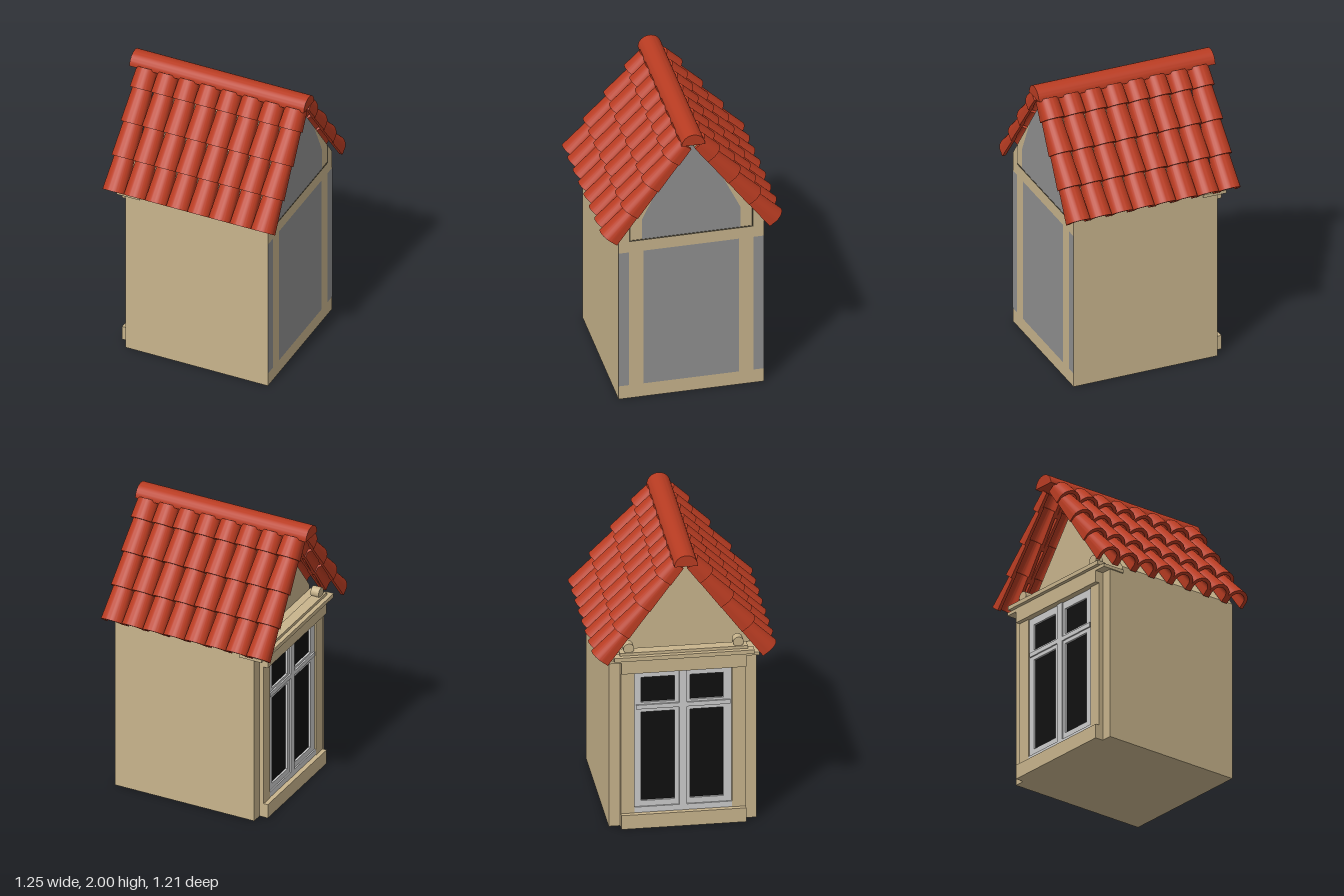
import * as THREE from 'three';
import { toCreasedNormals } from 'three/addons/utils/BufferGeometryUtils.js';

const mat = (color) => new THREE.MeshStandardMaterial({ color });
const stone = mat(0xc8b48c);
const panelGrey = mat(0x909090);
const groove = mat(0x57503f);
const terracotta = mat(0xb93c22);
const frameWhite = mat(0xe8e8e8);
const glass = mat(0x101010);

function add(parent, name, geometry, material) {
  const mesh = new THREE.Mesh(geometry, material);
  mesh.name = name;
  parent.add(mesh);
  return mesh;
}

// Box given by its limits on each axis
function block(parent, name, material, x0, x1, y0, y1, z0, z1) {
  const mesh = add(parent, name, new THREE.BoxGeometry(x1 - x0, y1 - y0, z1 - z0), material);
  mesh.position.set((x0 + x1) / 2, (y0 + y1) / 2, (z0 + z1) / 2);
  return mesh;
}

const outline = (points) => new THREE.Shape(points.map(([a, b]) => new THREE.Vector2(a, b)));
const rect = (a0, a1, b0, b1) => outline([[a0, b0], [a1, b0], [a1, b1], [a0, b1]]);

// Outline in the z-y plane, extruded from x0 to x1
function slab(parent, name, material, shape, x0, x1) {
  const geometry = new THREE.ExtrudeGeometry(shape, { depth: x1 - x0, bevelEnabled: false });
  geometry.rotateY(Math.PI / 2).translate(x0, 0, 0);
  return add(parent, name, geometry, material);
}

// Hollow arched tile, wide at its lower end and tapering along +z
function tileGeometry(length) {
  const half = 0.077, rise = 0.043, thick = 0.024;
  const shape = new THREE.Shape();
  shape.moveTo(half, 0);
  shape.lineTo(half, rise);
  shape.absarc(0, rise, half, 0, Math.PI, false);
  shape.lineTo(-half, 0);
  shape.lineTo(-half + thick, 0);
  shape.lineTo(-half + thick, rise);
  shape.absarc(0, rise, half - thick, Math.PI, 0, true);
  shape.lineTo(half - thick, 0);
  const geometry = new THREE.ExtrudeGeometry(shape, { depth: length, bevelEnabled: false, curveSegments: 14 });
  const p = geometry.attributes.position;
  for (let i = 0; i < p.count; i++) {
    const t = p.getZ(i) / 0.27;
    p.setXY(i, p.getX(i) * (1 - 0.16 * t), p.getY(i) * (1 - 0.38 * t));
  }
  return toCreasedNormals(geometry, 0.6);
}

// One roof slope: rows of tiles climbing from the eave to the ridge
function roofSlope(name) {
  const slope = new THREE.Group();
  slope.name = name;
  const up = new THREE.Vector3(0, 0.8, -0.6);
  const normal = new THREE.Vector3(0, 0.6, 0.8);
  const turn = new THREE.Matrix4().makeBasis(new THREE.Vector3(-1, 0, 0), normal, up);
  const fullTile = tileGeometry(0.27), topTile = tileGeometry(0.14);
  for (let row = 0; row < 4; row++) {
    for (let col = 0; col < 8; col++) {
      const tile = add(slope, 'roofTile', row < 3 ? fullTile : topTile, terracotta);
      tile.quaternion.setFromRotationMatrix(turn);
      tile.position.set((col - 3.5) * 0.1525, 1.225, 0.51).addScaledVector(up, row * 0.23);
    }
  }
  slope.position.x = 0.0135;
  return slope;
}

function buildWindow() {
  const g = new THREE.Group();
  g.name = 'window';
  block(g, 'glass', glass, -0.469, -0.464, 0.1, 1.12, -0.32, 0.32);
  for (const s of [-1, 1]) {
    // Each leaf is a frame with a small upper light and a tall lower light
    const leaf = rect(-0.16, 0.16, 0.1, 1.12);
    leaf.holes.push(rect(-0.105, 0.115, 0.18, 0.82), rect(-0.105, 0.115, 0.89, 1.07));
    const mesh = slab(g, 'windowLeaf', frameWhite, leaf, -0.469, -0.482);
    mesh.geometry.dispose();
    mesh.geometry = new THREE.ExtrudeGeometry(leaf, { depth: 0.014, bevelEnabled: false })
      .rotateY(Math.PI / 2).translate(-0.483, 0, s * 0.16);
    block(g, 'transomLedge', frameWhite, -0.493, -0.47, 0.845, 0.875, s * 0.16 - 0.15, s * 0.16 + 0.15);
  }
  block(g, 'centreMullion', frameWhite, -0.493, -0.469, 0.1, 1.12, -0.025, 0.025);
  block(g, 'windowSill', frameWhite, -0.492, -0.469, 0.1, 0.14, -0.32, 0.32);
  return g;
}

export function createModel() {
  const model = new THREE.Group();
  model.name = 'dormer';

  // Solid walls and the gable set back behind the cornice
  block(model, 'walls', stone, -0.465, 0.56, 0, 1.2, -0.485, 0.485);
  slab(model, 'gable', stone,
    outline([[-0.485, 1.2], [0.485, 1.2], [0.485, 1.25], [0, 1.895], [-0.485, 1.25]]), -0.36, 0.56);

  // Plain rear wall with flush grey infill
  const infill = new THREE.Group();
  infill.name = 'rearInfill';
  const panels = [
    rect(-0.32, 0.32, 0.1, 1.12), rect(-0.485, -0.415, 0.1, 1.12), rect(0.415, 0.485, 0.1, 1.12),
    outline([[-0.33, 1.21], [0.33, 1.21], [0.33, 1.36], [0.21, 1.61], [0, 1.89], [-0.21, 1.61], [-0.33, 1.36]]),
  ];
  for (const shape of panels) {
    add(infill, 'infillPanel', new THREE.ShapeGeometry(shape).rotateY(Math.PI / 2).translate(0.562, 0, 0), panelGrey);
  }
  block(infill, 'grooveBottom', groove, 0.555, 0.563, 1.2, 1.209, -0.415, 0.415);
  for (const s of [-1, 1]) {
    block(infill, 'grooveSide', groove, 0.555, 0.563, 1.2, 1.34, s * 0.411 - 0.004, s * 0.411 + 0.004);
  }
  model.add(infill);

  // Window side: pilasters around the opening, plinth and lintel
  const surround = rect(-0.41, 0.41, 0, 1.2);
  surround.holes.push(rect(-0.32, 0.32, 0.1, 1.12));
  slab(model, 'windowSurround', stone, surround, -0.495, -0.465);
  block(model, 'plinth', stone, -0.525, -0.465, 0, 0.1, -0.41, 0.41);
  block(model, 'lintel', stone, -0.525, -0.465, 1.12, 1.2, -0.41, 0.41);
  model.add(buildWindow());

  // Stepped cornice with a small scroll at each end
  block(model, 'corniceSlab', stone, -0.525, -0.36, 1.2, 1.222, -0.495, 0.495);
  block(model, 'corniceRail', stone, -0.55, -0.49, 1.222, 1.25, -0.46, 0.46);
  block(model, 'corniceStep', stone, -0.52, -0.45, 1.25, 1.27, -0.42, 0.42);
  for (const s of [-1, 1]) {
    const scroll = add(model, 'corniceScroll', new THREE.CylinderGeometry(0.035, 0.035, 0.06, 20), stone);
    scroll.rotation.z = Math.PI / 2;
    scroll.position.set(-0.48, 1.295, s * 0.36);
  }

  // Tiled roof
  const front = roofSlope('frontRoofSlope');
  const back = roofSlope('backRoofSlope');
  back.rotation.y = Math.PI;
  model.add(front, back);

  // Half-round ridge cap
  const cap = new THREE.Shape();
  cap.absarc(0, 1.922, 0.078, 0, Math.PI, false);
  const ridge = slab(model, 'ridgeCap', terracotta, cap, -0.63, 0.625);
  ridge.geometry = toCreasedNormals(ridge.geometry, 0.6);

  return model;
}
